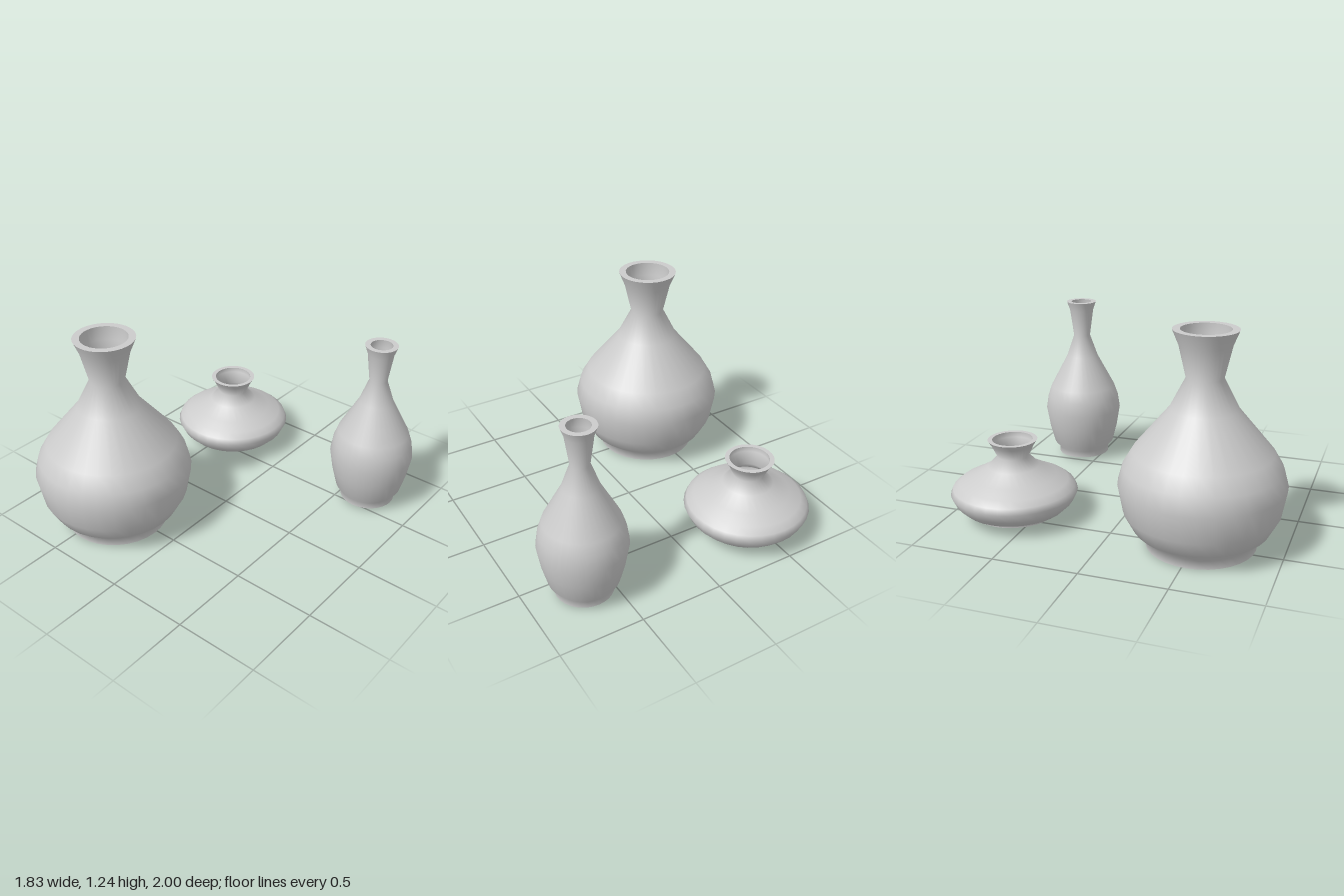
import * as THREE from 'three';

const material = new THREE.MeshStandardMaterial({ color: 0xcccccc });

// Lathe one smooth section of a vase from [radius, height] pairs
function turned(name, profile) {
  const points = profile.map(([r, y]) => new THREE.Vector2(r, y));
  const mesh = new THREE.Mesh(new THREE.LatheGeometry(points, 32), material);
  mesh.name = name;
  return mesh;
}

// A hollow vase; profile runs from the foot up to the outer lip
function makeVase(name, x, z, profile, lipInner, wall) {
  const vase = new THREE.Group();
  vase.name = name;
  vase.position.set(x, 0, z);

  const [footR, footY] = profile[0];
  const [lipR, lipY] = profile[profile.length - 1];
  const floorY = footY + 0.05;

  // Inner wall follows the outside, from the lip down to the floor
  const inside = profile
    .slice(2, -1)
    .filter(([, y]) => y > floorY + 0.02)
    .reverse()
    .map(([r, y]) => [Math.min(r - wall, r * 0.95), y]);
  inside.unshift([lipInner, lipY]);
  const floorR = footR * 0.9;
  inside.push([floorR, floorY]);

  vase.add(
    turned('body', profile),
    turned('base', [[0, footY], [footR, footY]]),
    turned('rim', [[lipR, lipY], [lipInner, lipY]]),
    turned('innerWall', inside),
    turned('innerFloor', [[floorR, floorY], [0, floorY]])
  );
  return vase;
}

export function createModel() {
  const model = new THREE.Group();
  model.name = 'vases';

  model.add(
    makeVase('largeVase', -0.448, 0.525, [
      [0.313, 0], [0.313, 0.05], [0.385, 0.11], [0.44, 0.21], [0.47, 0.37],
      [0.443, 0.47], [0.39, 0.56], [0.19, 0.8], [0.103, 0.97],
      [0.145, 1.15], [0.18, 1.235]
    ], 0.138, 0.006),

    makeVase('slenderVase', 0.66, -0.63, [
      [0.17, 0.02], [0.17, 0.06], [0.204, 0.1], [0.235, 0.22], [0.255, 0.34],
      [0.241, 0.43], [0.217, 0.5], [0.105, 0.71], [0.054, 0.855],
      [0.078, 1.03], [0.098, 1.087]
    ], 0.066, 0.002),

    makeVase('squatVase', -0.45, -0.625, [
      [0.25, 0.032], [0.25, 0.05], [0.305, 0.068], [0.348, 0.11], [0.375, 0.165],
      [0.36, 0.2], [0.32, 0.232], [0.25, 0.267], [0.15, 0.325], [0.092, 0.385],
      [0.125, 0.455], [0.145, 0.487]
    ], 0.118, 0.005)
  );
  return model;
}
